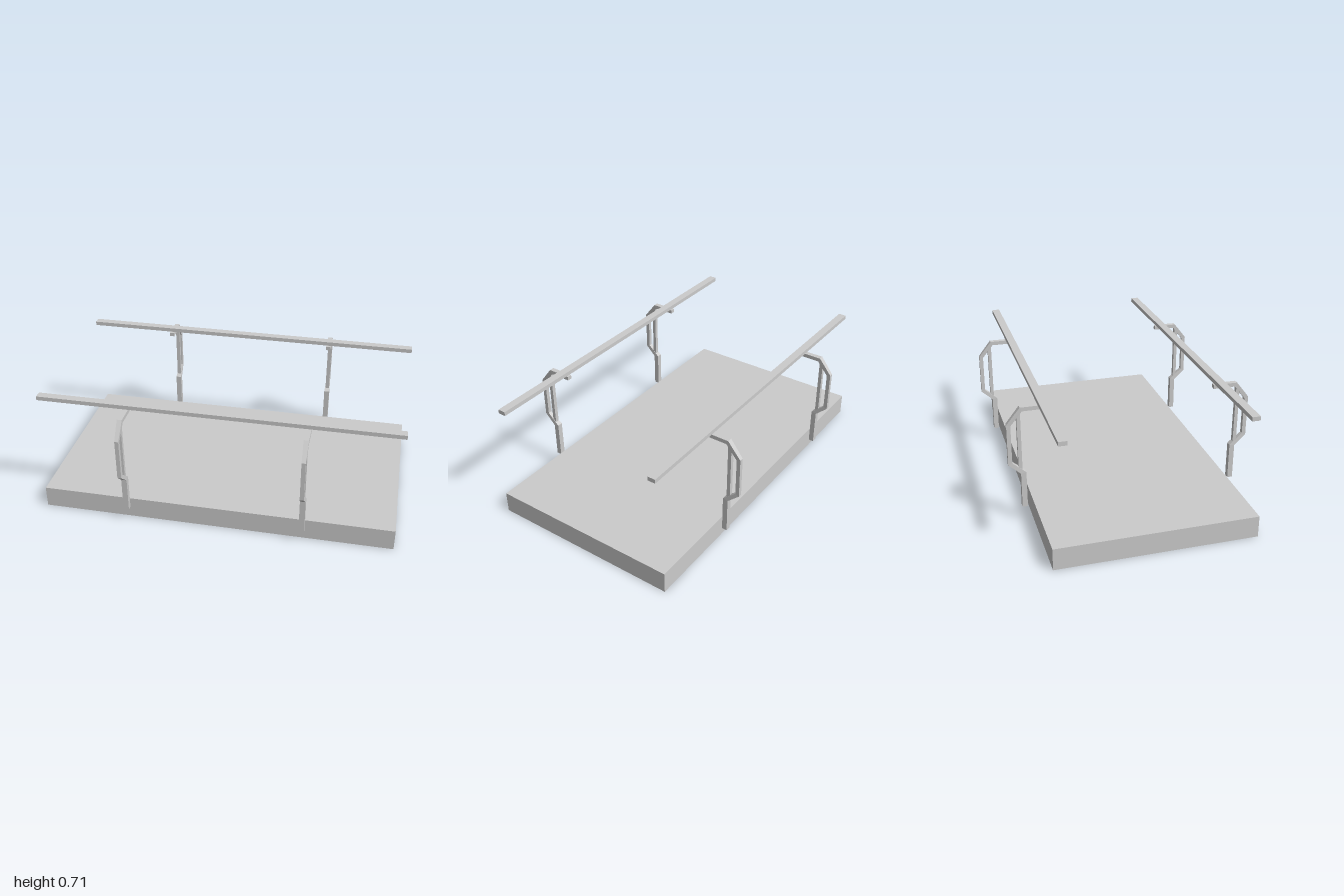
import * as THREE from 'three';

const material = new THREE.MeshStandardMaterial({ color: 0xcccccc, flatShading: true });

function box(name, w, h, d, x, y, z) {
  const mesh = new THREE.Mesh(new THREE.BoxGeometry(w, h, d), material);
  mesh.name = name;
  mesh.position.set(x, y, z);
  return mesh;
}

// Bent arm: a (z, y) outline extruded along x, slimmer in its middle
function armGeometry() {
  const outline = [
    [0.582, 0.087], [0.611, 0.087], [0.611, 0.291], [0.676, 0.349],
    [0.676, 0.583], [0.602, 0.676], [0.467, 0.676], [0.467, 0.654],
    [0.591, 0.654], [0.654, 0.575], [0.654, 0.358], [0.582, 0.297],
  ].map(([z, y]) => new THREE.Vector2(z, y));
  const geometry = new THREE.ExtrudeGeometry(new THREE.Shape(outline), { depth: 1, bevelEnabled: false });
  geometry.translate(0, 0, -0.5).rotateY(-Math.PI / 2);
  const p = geometry.attributes.position;
  for (let i = 0; i < p.count; i++) {
    const y = p.getY(i);
    const width = y < 0.32 ? 0.031 : y < 0.6 ? 0.022 : 0.028;
    p.setX(i, p.getX(i) * width);
  }
  geometry.computeVertexNormals();
  return geometry;
}

export function createModel() {
  const model = new THREE.Group();
  model.name = 'railedPlatform';
  model.add(box('platform', 2, 0.123, 1.106, 0, 0.0615, 0));

  const armShape = armGeometry();
  for (const [side, angle] of [['front', 0], ['back', Math.PI]]) {
    const half = new THREE.Group();
    half.name = side + 'Railing';
    half.rotation.y = angle;
    half.add(box('rail', 2, 0.023, 0.045, 0, 0.6975, 0.488));

    for (const x of [-0.497, 0.497]) {
      const bracket = new THREE.Group();
      bracket.name = 'bracket';
      bracket.position.x = x;
      const arm = new THREE.Mesh(armShape, material);
      arm.name = 'bentArm';
      // Straight brace closing the bend of the arm
      bracket.add(arm, box('brace', 0.022, 0.345, 0.02, 0, 0.4775, 0.611));
      half.add(bracket);
    }
    model.add(half);
  }
  return model;
}
